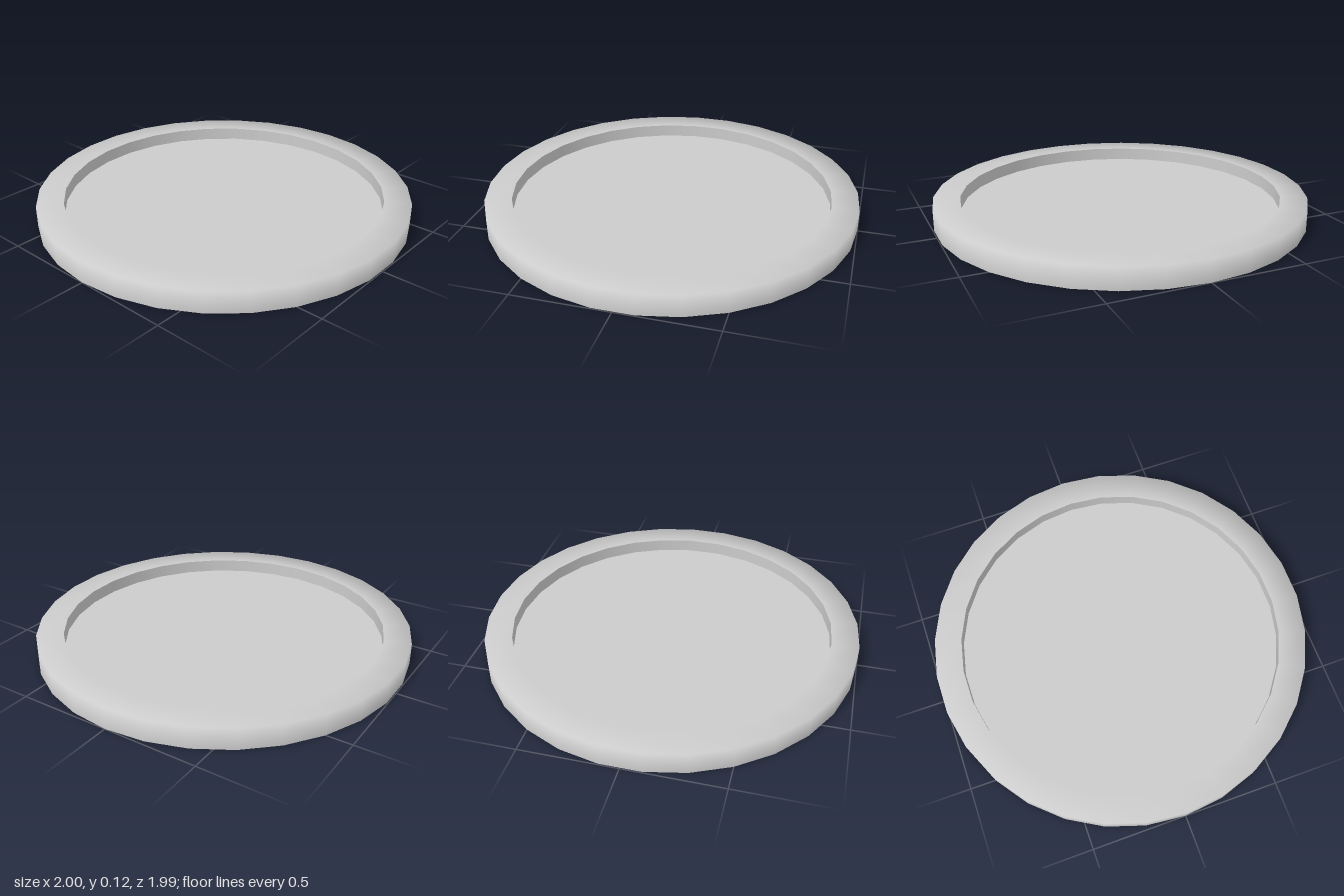
import * as THREE from 'three';

const SIDES = 30;
const OUTER = 1;
const INNER = 0.857;
const HEIGHT = 0.115;
const FLOOR = 0.045;

export function createModel() {
  const group = new THREE.Group();
  group.name = 'tray';
  const material = new THREE.MeshStandardMaterial({ color: 0xcccccc });

  const add = (name, geometry) => {
    const mesh = new THREE.Mesh(geometry, material);
    mesh.name = name;
    group.add(mesh);
    return mesh;
  };

  // Revolved part, starting on the x axis so a corner sits at x = 1 and x = -1
  const revolve = (name, profile) => add(name, new THREE.LatheGeometry(
    profile.map(([r, y]) => new THREE.Vector2(r, y)), SIDES, Math.PI / 2));

  // Flat disc facing up or down
  const disc = (name, radius, y, up) => {
    const geometry = new THREE.CircleGeometry(radius, SIDES);
    geometry.rotateX(up ? -Math.PI / 2 : Math.PI / 2);
    add(name, geometry).position.y = y;
  };

  // Outer wall flowing into the rim top with smooth normals
  revolve('rim', [[OUTER, 0], [OUTER, HEIGHT], [INNER, HEIGHT]]);
  // Inner wall dropping to the recessed floor
  revolve('innerWall', [[INNER, HEIGHT], [INNER, FLOOR]]);
  disc('floor', INNER, FLOOR, true);
  disc('base', OUTER, 0, false);

  return group;
}
